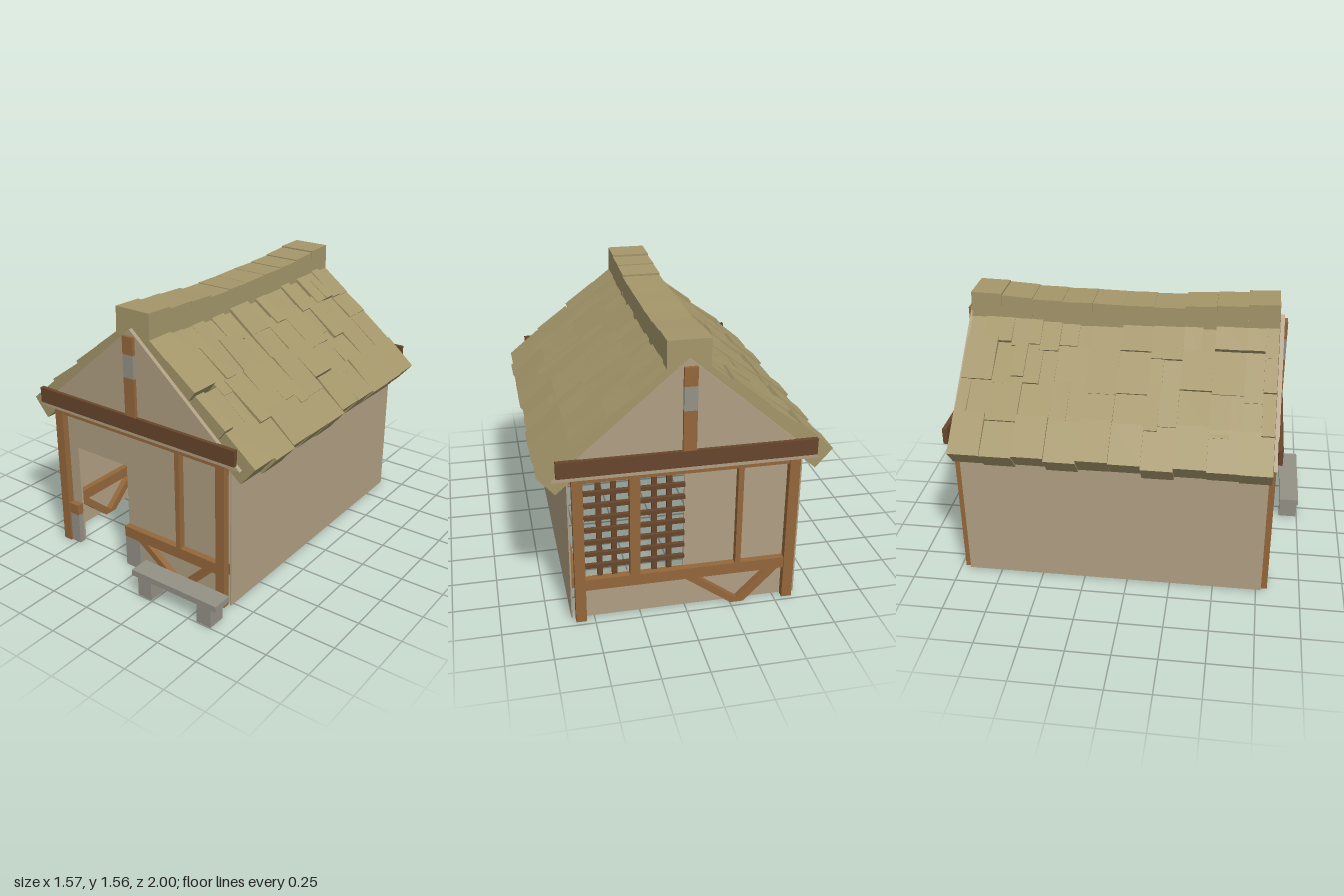
import * as THREE from 'three';

const material = (name, color) => {
  const m = new THREE.MeshStandardMaterial({ color });
  m.name = name;
  return m;
};
const plaster = material('plaster', 0xb09f83);
const timber = material('timber', 0x94673b);
const darkTimber = material('dark timber', 0x68462c);
const stone = material('stone', 0x949186);
const thatch = material('thatch', 0xa4966a);

// box given by its minimum and maximum on each axis
function box(parent, name, mat, [x0, x1], [y0, y1], [z0, z1]) {
  const mesh = new THREE.Mesh(new THREE.BoxGeometry(x1 - x0, y1 - y0, z1 - z0), mat);
  mesh.position.set((x0 + x1) / 2, (y0 + y1) / 2, (z0 + z1) / 2);
  mesh.name = name;
  parent.add(mesh);
  return mesh;
}

const outline = (points) => points.map(([x, y]) => new THREE.Vector2(x, y));

// flat plate cut from an outline, from z0 to z1
function plate(parent, name, mat, points, [z0, z1], hole) {
  const shape = new THREE.Shape(outline(points));
  if (hole) shape.holes.push(new THREE.Path(outline(hole)));
  const geo = new THREE.ExtrudeGeometry(shape, { depth: z1 - z0, bevelEnabled: false });
  const mesh = new THREE.Mesh(geo, mat);
  mesh.position.z = z0;
  mesh.name = name;
  parent.add(mesh);
}

// slanted strut under the rail, from its top end to its foot
function brace(parent, top, foot, depth) {
  const w = 0.032;
  plate(parent, 'brace', timber,
    [[foot - w, 0], [foot + w, 0], [top + w, 0.192], [top - w, 0.192]], depth);
}

const WALL = [0.837, 0.85], FRAME = [0.846, 0.888], H = 0.86;
const RAIL = [0.19, 0.255];

// timber framing and gable shared by both ends
function endFrame(name) {
  const g = new THREE.Group();
  g.name = name;
  for (const s of [-1, 1]) {
    box(g, 'cornerPost', timber, s < 0 ? [-0.602, -0.545] : [0.545, 0.602], [0, H], [0.855, 0.895]);
  }
  box(g, 'topRail', timber, [-0.545, 0.545], [0.835, H], FRAME);
  box(g, 'stud', timber, [0.27, 0.3], [RAIL[1], 0.835], FRAME);
  brace(g, 0.025, 0.285, FRAME);
  brace(g, 0.485, 0.295, [0.846, 0.886]);

  plate(g, 'gable', plaster, [[-0.7, H], [0.7, H], [0, 1.465]], [0.876, 0.899]);
  box(g, 'tieBeam', darkTimber, [-0.68, 0.68], [0.89, 0.98], [0.895, 0.92]);
  box(g, 'kingPost', timber, [-0.035, 0.035], [0.98, 1.2], [0.895, 0.918]);
  box(g, 'kingPostPatch', stone, [-0.035, 0.035], [1.2, 1.33], [0.895, 0.918]);
  box(g, 'kingPostTop', timber, [-0.035, 0.035], [1.33, 1.43], [0.895, 0.918]);
  return g;
}

function frontEnd() {
  const g = endFrame('frontEnd');
  plate(g, 'frontWall', plaster, [[-0.6, 0], [-0.48, 0], [-0.48, 0.625], [-0.105, 0.625],
    [-0.105, 0], [0.6, 0], [0.6, H], [-0.6, H]], WALL);
  for (const span of [[-0.545, -0.48], [-0.105, 0.545]]) box(g, 'rail', timber, span, RAIL, FRAME);
  for (const span of [[-0.545, -0.48], [-0.105, 0]]) {
    box(g, 'doorStone', stone, span, [0, 0.19], [0.846, 0.885]);
  }
  return g;
}

function backEnd() {
  const g = endFrame('backEnd');
  const [x0, x1, y0, y1] = [-0.54, -0.01, 0.255, 0.835];
  plate(g, 'backWall', plaster, [[-0.6, 0], [0.6, 0], [0.6, H], [-0.6, H]], WALL,
    [[x0, y0], [x0, y1], [x1, y1], [x1, y0]]);
  box(g, 'rail', timber, [-0.545, 0.545], RAIL, FRAME);
  box(g, 'windowPost', timber, [-0.305, -0.25], [y0, y1], FRAME);
  // crossed bars on both sides of the window post
  for (const [a, b] of [[x0, -0.305], [-0.25, x1]]) {
    for (let i = 1; i <= 2; i++) {
      const x = a + (b - a) * i / 3;
      box(g, 'latticeBar', darkTimber, [x - 0.014, x + 0.014], [y0, y1], [0.834, 0.856]);
    }
    for (let i = 1; i <= 7; i++) {
      const y = y0 + (y1 - y0) * i / 8;
      box(g, 'latticeBar', darkTimber, [a, b], [y - 0.011, y + 0.011], [0.852, 0.874]);
    }
  }
  g.rotation.y = Math.PI;
  return g;
}

// long wall with framing on its inner face; built facing +z, then turned
function sideWall(side) {
  const g = new THREE.Group();
  g.name = side > 0 ? 'leftWall' : 'rightWall';
  box(g, 'wallPanel', plaster, [-0.86, 0.86], [0.005, 0.87], [0.616, 0.624]);
  const inner = [0.578, 0.618];
  box(g, 'innerTopPlate', timber, [-0.85, 0.85], [0.82, H], inner);
  box(g, 'innerRail', timber, [-0.85, 0.85], RAIL, inner);
  for (const z of [-0.28, 0.28]) box(g, 'innerStud', timber, [z - 0.016, z + 0.016], [RAIL[1], 0.82], inner);
  for (const foot of [-0.51, 0, 0.51]) {
    brace(g, foot - 0.225, foot - 0.01, inner);
    brace(g, foot + 0.225, foot + 0.01, [0.58, 0.618]);
  }
  g.rotation.y = side * Math.PI / 2;
  return g;
}

// thatch laid in uneven bundles, sagging towards the middle of the ridge
function roof() {
  const g = new THREE.Group();
  g.name = 'roof';
  let seed = 11;
  const rand = () => (seed = (seed * 16807) % 2147483647) / 2147483647;
  const jitter = (r) => (rand() * 2 - 1) * r;
  const HALF = 0.872, COUNT = 10, STEP = 2 * HALF / COUNT;
  const sag = (z) => 0.05 * (1 - (z / HALF) ** 2);
  const edges = [0.07, 0.235, 0.415, 0.6, 0.78];
  const angle = Math.atan(0.8);

  const bundle = (s, xa, xb, z0, z1, thick, lift, tilt) => {
    const x = (xa + xb) / 2, z = (z0 + z1) / 2;
    const y = 1.425 - 0.8 * (x - 0.11) - sag(z) * (0.8 - x) * 0.9 + lift;
    const mesh = new THREE.Mesh(
      new THREE.BoxGeometry((xb - xa) / Math.cos(angle), thick, z1 - z0), thatch);
    mesh.position.set(s * (x - Math.sin(angle) * thick / 2), y - Math.cos(angle) * thick / 2, z);
    mesh.rotation.z = -s * (angle + tilt);
    mesh.name = 'thatchBundle';
    g.add(mesh);
  };

  for (const s of [-1, 1]) {
    for (let row = 0; row < 4; row++) {
      const eave = row === 3;
      for (let i = 0; i < COUNT; i++) {
        const z0 = -HALF + i * STEP, z1 = z0 + STEP;
        const cut = !eave && rand() < 0.55 ? z0 + STEP * (0.35 + rand() * 0.3) : z1;
        for (const [a, b] of cut < z1 ? [[z0, cut], [cut, z1]] : [[z0, z1]]) {
          bundle(s, edges[row] - 0.008, edges[row + 1] + (eave ? jitter(0.008) : 0.02 + jitter(0.035)),
            a, b, eave ? 0.14 : 0.075, (eave ? 0.004 : 0.001) + jitter(0.012),
            (eave ? 0.02 : -0.025) + jitter(0.04));
        }
      }
    }
  }
  // ridge cap
  for (let i = 0; i < COUNT; i++) {
    const z = -HALF + (i + 0.5) * STEP;
    const top = 1.566 - sag(z) + jitter(0.005);
    const cap = box(g, 'ridgeCap', thatch, [-0.112, 0.112], [top - 0.15, top],
      [z - STEP / 2, z + STEP / 2]);
    cap.rotation.x = -0.05 * z / HALF + jitter(0.03);
  }
  return g;
}

function bench() {
  const g = new THREE.Group();
  g.name = 'bench';
  box(g, 'benchSeat', stone, [0.112, 0.685], [0.115, 0.15], [0.882, 1]);
  for (const x of [0.15, 0.555]) box(g, 'benchLeg', stone, [x, x + 0.092], [0, 0.115], [0.888, 0.995]);
  return g;
}

export function createModel() {
  const model = new THREE.Group();
  model.name = 'cottage';
  const house = new THREE.Group();
  house.name = 'house';
  house.add(frontEnd(), backEnd(), sideWall(1), sideWall(-1), roof());
  house.position.z = -0.08;
  model.add(house, bench());
  return model;
}
